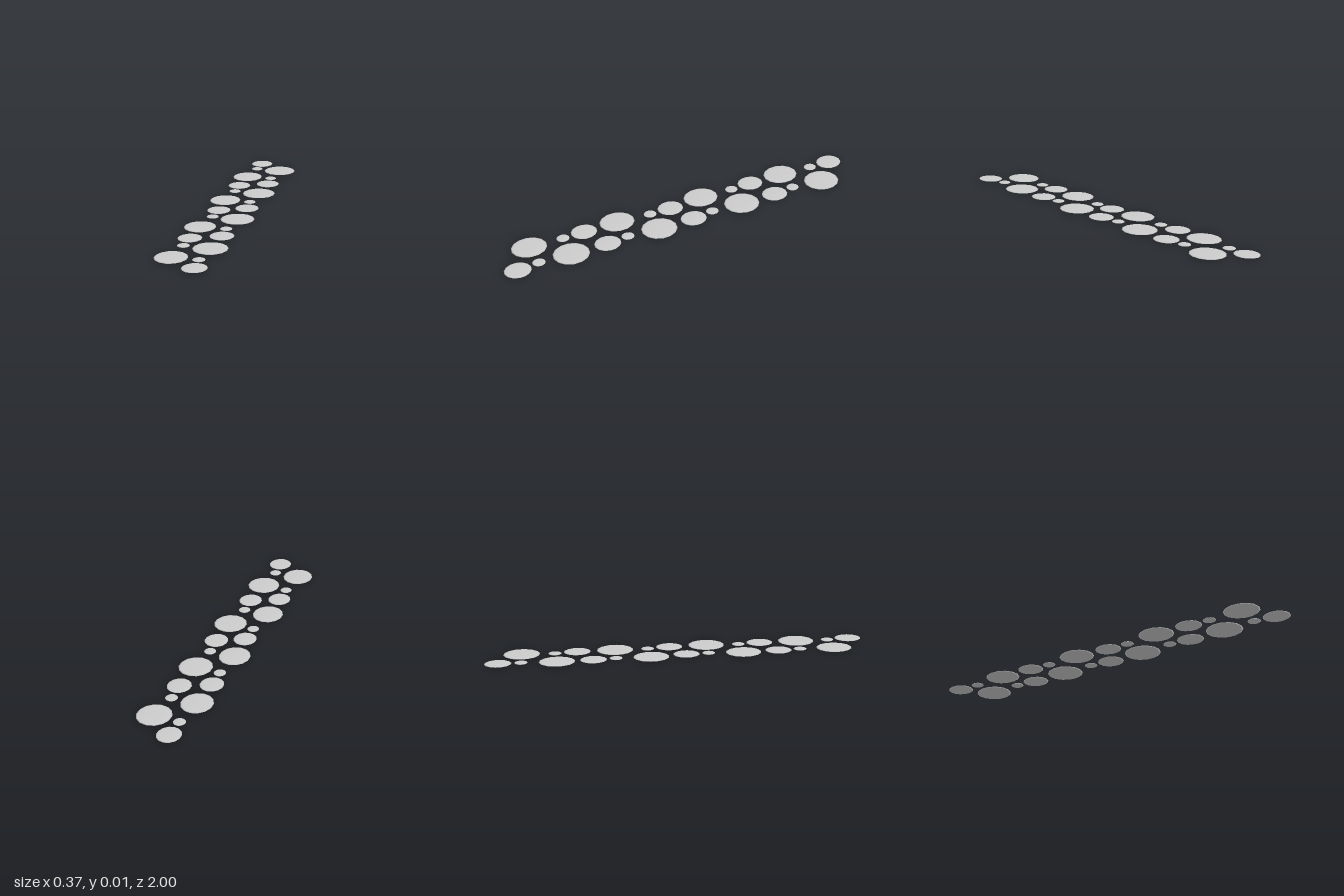
import * as THREE from 'three';

const HEIGHT = 0.008;
const REPEAT = 0.481; // spacing of the repeating pattern along z

// Each kind of stone: name, half width, half length, first z, x in each repeat
const stones = [
  ['mediumStoneRight', 0.06, 0.069, -0.931, [-0.024, -0.056, -0.061, -0.093]],
  ['smallStoneRight', 0.031, 0.034, -0.815, [-0.03, -0.055, -0.066, -0.095]],
  ['largeStoneRight', 0.08, 0.093, -0.635, [-0.049, -0.069, -0.088, -0.108]],
  ['largeStoneLeft', 0.086, 0.095, -0.799, [0.104, 0.079, 0.066, 0.04]],
  ['smallStoneLeft', 0.031, 0.034, -0.63, [0.084, 0.065, 0.046, 0.026]],
  ['mediumStoneLeft', 0.061, 0.07, -0.514, [0.09, 0.074, 0.051, 0.034]],
];

// Flat pebble with a rounded rim, unit radius and unit height
function pebbleGeometry() {
  const profile = [
    [0, 0], [0.65, 0.08], [0.93, 0.28], [1, 0.5], [0.93, 0.72], [0.65, 0.92], [0, 1],
  ].map(([r, y]) => new THREE.Vector2(r, y));
  return new THREE.LatheGeometry(profile, 14);
}

export function createModel() {
  const path = new THREE.Group();
  path.name = 'steppingStonePath';
  const material = new THREE.MeshStandardMaterial({ color: 0xcccccc });
  const pebble = pebbleGeometry();

  for (const [name, halfWidth, halfLength, firstZ, xs] of stones) {
    const geometry = pebble.clone().scale(halfWidth, HEIGHT, halfLength);
    xs.forEach((x, i) => {
      const stone = new THREE.Mesh(geometry, material);
      stone.name = name + (i + 1);
      stone.position.set(x, 0, firstZ + i * REPEAT);
      path.add(stone);
    });
  }
  return path;
}
